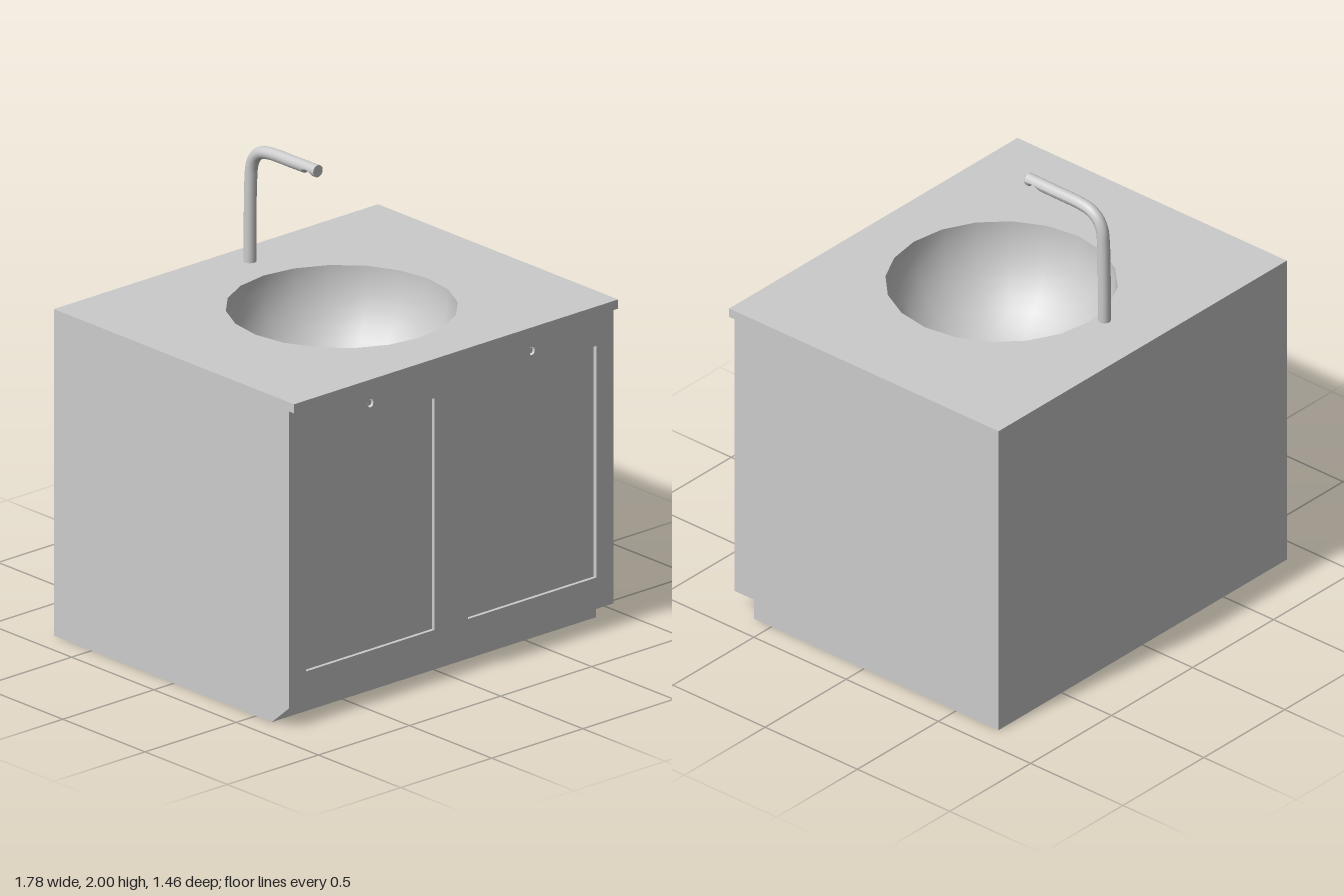
import * as THREE from 'three';

const material = new THREE.MeshStandardMaterial({ color: 0xcccccc, side: THREE.DoubleSide });

export function createModel() {
  const model = new THREE.Group();

  const add = (name, geometry, x = 0, y = 0, z = 0) => {
    const mesh = new THREE.Mesh(geometry, material);
    mesh.name = name;
    mesh.position.set(x, y, z);
    model.add(mesh);
    return mesh;
  };
  // box given by its limits on each axis
  const addBox = (name, [x0, x1], [y0, y1], [z0, z1]) =>
    add(name, new THREE.BoxGeometry(x1 - x0, y1 - y0, z1 - z0), (x0 + x1) / 2, (y0 + y1) / 2, (z0 + z1) / 2);
  const polygon = (points) => new THREE.Shape(points.map(([x, y]) => new THREE.Vector2(x, y)));
  const rect = (x0, x1, y0, y1) => polygon([[x0, y0], [x1, y0], [x1, y1], [x0, y1]]);
  const ring = (cx, cy, rx, ry, n) => polygon(Array.from({ length: n }, (_, i) => {
    const a = (i / n) * Math.PI * 2;
    return [cx + rx * Math.cos(a), cy + ry * Math.sin(a)];
  }));
  const extrude = (shape, depth) => new THREE.ExtrudeGeometry(shape, { depth, bevelEnabled: false });

  const W = 0.89, back = -0.73, front = 0.70, panelZ = 0.684;
  const kickY = 0.09, kickZ = 0.595, underTop = 1.385, topY = 1.425;
  const bowlR = 0.475, bowlZ = 0.035;

  // countertop with a 20-sided opening, overhanging the front
  const top = rect(-W, W, -0.73, -back);
  top.holes.push(ring(0, -bowlZ, bowlR, bowlR, 20));
  add('countertop', extrude(top, topY - underTop).rotateX(-Math.PI / 2), 0, underTop, 0);

  // smooth half-sphere basin
  const bowl = new THREE.SphereGeometry(bowlR, 20, 12, 0, Math.PI * 2, Math.PI / 2, Math.PI / 2);
  add('basin', bowl, 0, topY, bowlZ);

  // side panels, notched at the toe kick
  const side = polygon([[back, 0], [kickZ, 0], [kickZ, kickY], [panelZ, kickY], [panelZ, underTop], [back, underTop]]);
  for (const [name, x] of [['leftSide', W], ['rightSide', -W + 0.02]]) {
    add(name, extrude(side, 0.02).rotateY(-Math.PI / 2), x, 0, 0);
  }

  // back, floor and toe kick
  const inner = [-W + 0.02, W - 0.02];
  addBox('backPanel', inner, [0, underTop], [back, back + 0.02]);
  addBox('floor', inner, [0, 0.02], [back + 0.02, kickZ]);
  addBox('toeKick', inner, [0.02, kickY], [kickZ - 0.02, kickZ]);
  addBox('toeKickCeiling', inner, [kickY, kickY + 0.02], [kickZ - 0.02, panelZ - 0.02]);

  // triangular gusset closing one end of the toe kick
  const gusset = polygon([[kickZ, 0], [front, kickY], [kickZ, kickY]]);
  add('toeKickGusset', new THREE.ShapeGeometry(gusset).rotateY(-Math.PI / 2), -W, 0, 0);

  // front frame with door recesses and finger holes
  const frame = rect(-W, W, kickY, underTop);
  for (const s of [-1, 1]) {
    const [x0, x1] = s > 0 ? [0.092, 0.797] : [-0.797, -0.092];
    frame.holes.push(rect(x0, x1, 0.227, 1.238));
    frame.holes.push(ring(s * 0.443, 1.308, 0.016, 0.02, 12));
    const knob = new THREE.CylinderGeometry(0.01, 0.01, 0.01, 12).rotateX(Math.PI / 2).scale(1, 1.3, 1);
    add(s > 0 ? 'leftKnob' : 'rightKnob', knob, s * 0.443, 1.308, panelZ + 0.005);
  }
  add('frontFrame', extrude(frame, front - panelZ), 0, 0, panelZ);
  addBox('doorPanels', inner, [kickY + 0.02, underTop], [panelZ - 0.02, panelZ]);

  // bent tap, with an outlet notch scooped from the underside of its tip
  const path = new THREE.CatmullRomCurve3([
    [1.465, -0.523], [1.65, -0.522], [1.82, -0.518], [1.89, -0.51], [1.93, -0.49],
    [1.957, -0.455], [1.969, -0.40], [1.972, -0.26], [1.974, -0.11],
  ].map(([y, z]) => new THREE.Vector3(0, y, z)));
  const tapR = 0.0265;
  const tube = new THREE.TubeGeometry(path, 160, tapR, 14);
  const p = tube.attributes.position;
  for (let i = 0; i < p.count; i++) {
    const d = (p.getZ(i) + 0.156) / 0.029;
    if (Math.abs(d) < 1) p.setY(i, Math.max(p.getY(i), 1.946 + 0.026 * Math.sqrt(1 - d * d)));
  }
  tube.computeVertexNormals();
  add('tap', tube);
  add('tapFoot', new THREE.CircleGeometry(tapR, 14).rotateX(Math.PI / 2), 0, 1.465, -0.523);
  add('tapTip', new THREE.CircleGeometry(tapR, 14), 0, 1.974, -0.11);

  return model;
}
